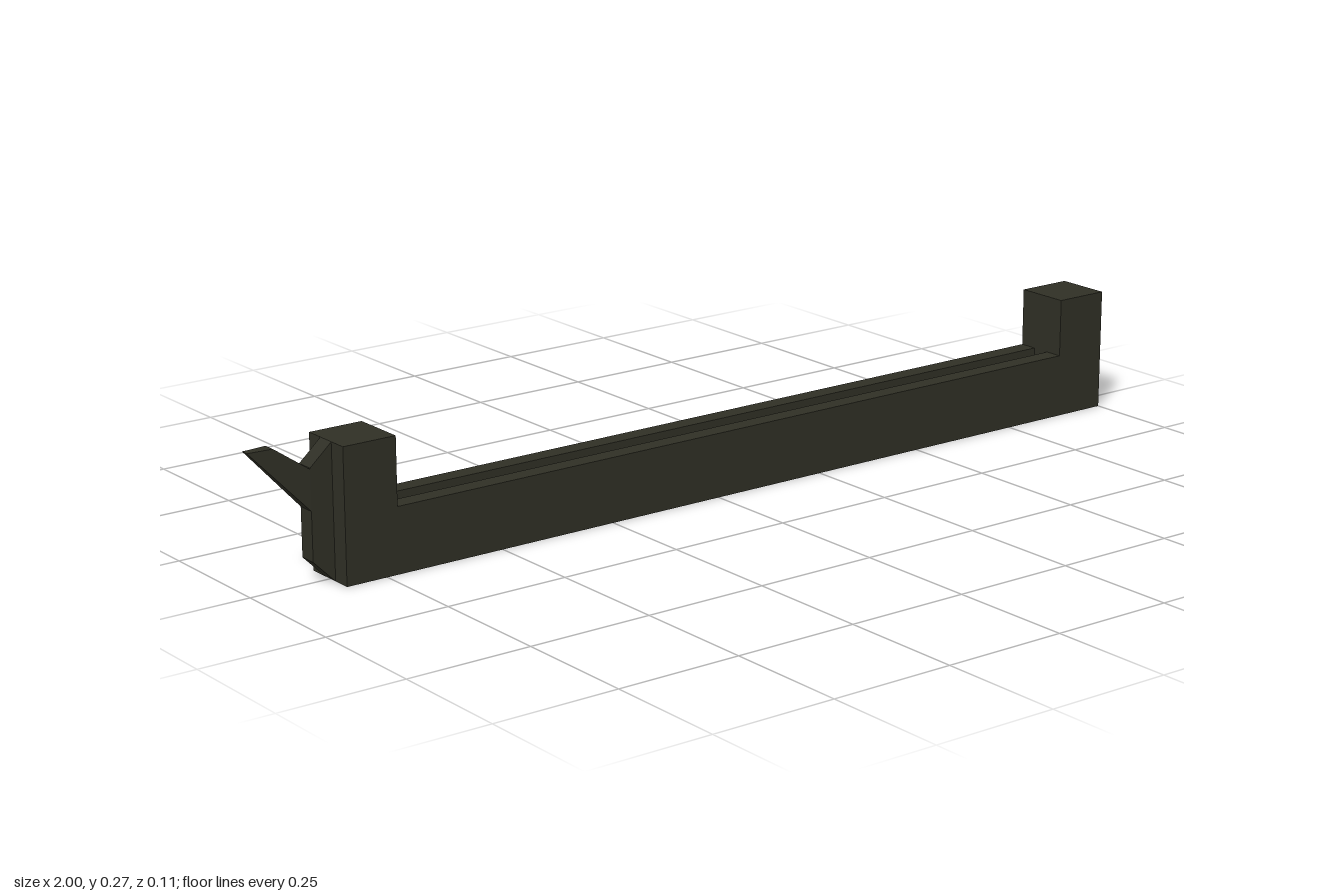
import * as THREE from 'three';

export function createModel() {
  const model = new THREE.Group();
  model.name = 'memorySlot';
  const plastic = new THREE.MeshStandardMaterial({ color: 0x2f2f25, side: THREE.DoubleSide });
  plastic.name = 'dark olive plastic';

  const add = (name, geometry) => {
    const mesh = new THREE.Mesh(geometry, plastic);
    mesh.name = name;
    model.add(mesh);
    return mesh;
  };
  // box given by its limits on each axis
  const block = (x0, x1, y0, y1, z0, z1) =>
    new THREE.BoxGeometry(x1 - x0, y1 - y0, z1 - z0)
      .translate((x0 + x1) / 2, (y0 + y1) / 2, (z0 + z1) / 2);
  // side profile extruded evenly about z = 0
  const plate = (points, halfWidth) => {
    const shape = new THREE.Shape(points.map(([x, y]) => new THREE.Vector2(x, y)));
    return new THREE.ExtrudeGeometry(shape, { depth: halfWidth * 2, bevelEnabled: false })
      .translate(0, 0, -halfWidth);
  };

  const HALF = 0.056, GAP = 0.019;

  // two long rails with the open slot between them
  add('frontRail', block(-0.725, 0.885, 0, 0.128, GAP, HALF));
  add('backRail', block(-0.725, 0.885, 0, 0.128, -HALF, -GAP));

  // end posts; the fixed one is hollow and open underneath
  add('latchPost', block(-0.835, -0.725, 0, 0.26, -HALF, HALF));
  const hollow = block(0.885, 1, 0, 0.245, -HALF, HALF);
  const bottom = hollow.groups[3];
  hollow.setIndex([...hollow.index.array].filter(
    (_, i) => i < bottom.start || i >= bottom.start + bottom.count));
  hollow.clearGroups();
  add('fixedPost', hollow);

  // latch plate on the outer end
  add('latchPlate', plate([[-0.835, 0], [-0.835, 0.26], [-0.88, 0.22], [-0.88, 0.045]], 0.018));

  // lever arm, narrowing towards its tip
  const lever = plate([[-0.88, 0.14], [-0.88, 0.218], [-0.95, 0.267], [-1, 0.267]], 0.018);
  const pos = lever.attributes.position;
  for (let i = 0; i < pos.count; i++) {
    const t = THREE.MathUtils.clamp((-0.88 - pos.getX(i)) / 0.12, 0, 1);
    pos.setZ(i, pos.getZ(i) * THREE.MathUtils.lerp(1, 0.45, t));
  }
  lever.computeVertexNormals();
  add('latchLever', lever);

  return model;
}
